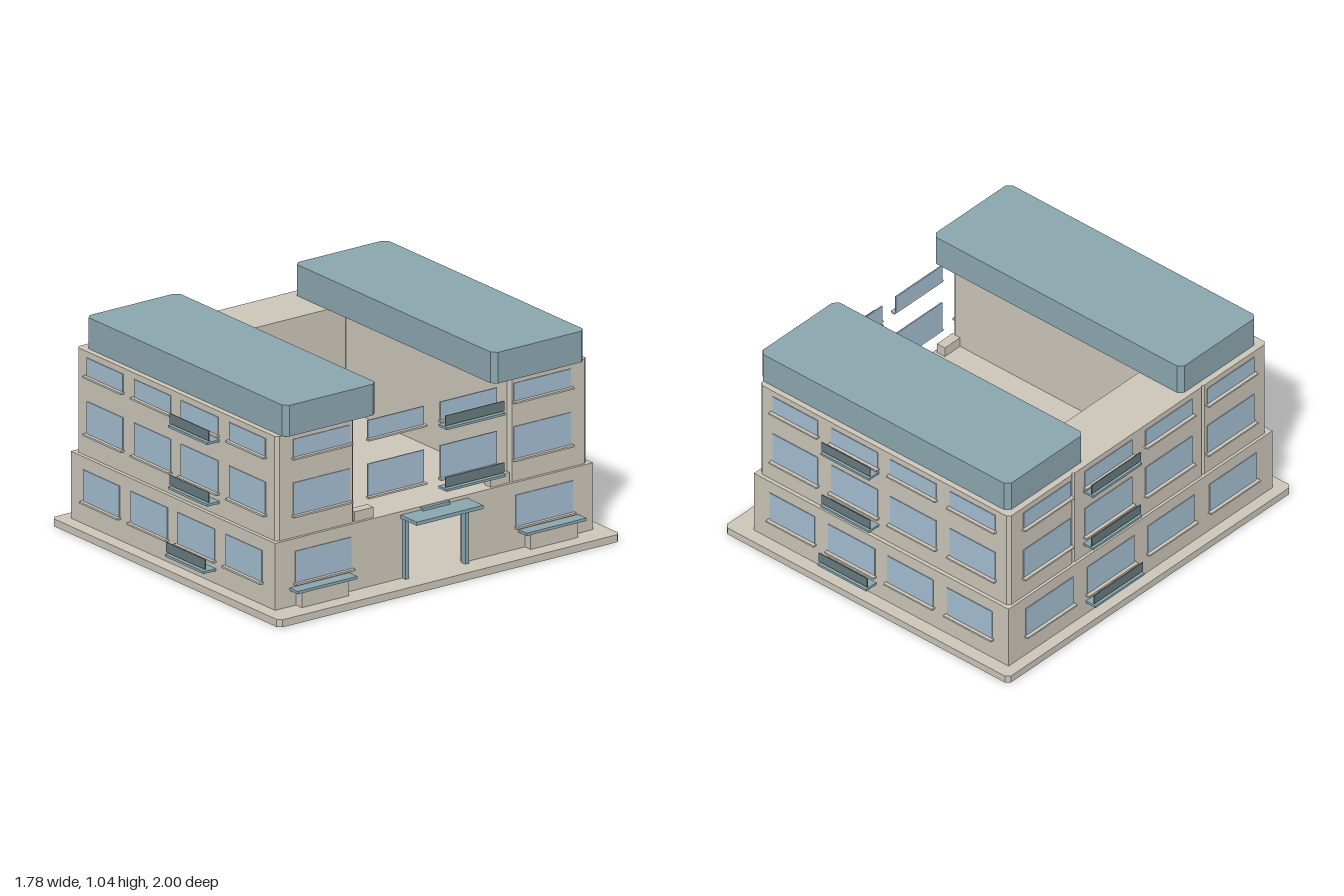
import * as THREE from 'three';

const mat = (name, color) => Object.assign(new THREE.MeshStandardMaterial({ color }), { name });

export function createModel() {
  const stone = mat('stone', 0xcac4b8);
  const teal = mat('teal', 0x8aa5ad);
  const glass = mat('glass', 0xa2bbce);
  const railing = mat('railing', 0x66797d);
  const model = new THREE.Group();
  model.name = 'building';

  const add = (parent, name, geometry, material) => {
    const mesh = new THREE.Mesh(geometry, material);
    mesh.name = name;
    parent.add(mesh);
    return mesh;
  };
  // Box given by its limits on each axis
  const box = (parent, name, material, x0, x1, y0, y1, z0, z1) => {
    const mesh = add(parent, name, new THREE.BoxGeometry(x1 - x0, y1 - y0, z1 - z0), material);
    mesh.position.set((x0 + x1) / 2, (y0 + y1) / 2, (z0 + z1) / 2);
    return mesh;
  };
  // Upright prism over a plan of [x, z] points
  const prism = (name, material, plan, y0, y1) => {
    const shape = new THREE.Shape(plan.map(([x, z]) => new THREE.Vector2(x, -z)));
    const geometry = new THREE.ExtrudeGeometry(shape, { depth: y1 - y0, bevelEnabled: false });
    geometry.rotateX(-Math.PI / 2).translate(0, y0, 0);
    return add(model, name, geometry, material);
  };
  // Rectangular plan with cut corners
  const cutPlan = (x0, x1, z0, z1, c) => [
    [x0 + c, z0], [x1 - c, z0], [x1, z0 + c], [x1, z1 - c],
    [x1 - c, z1], [x0 + c, z1], [x0, z1 - c], [x0, z0 + c],
  ];

  // Base slab
  prism('baseSlab', stone, cutPlan(-0.89, 0.89, -1, 1, 0.02), 0, 0.037);

  // Hollow ground floor with a doorway on the left side, closed by a deck
  prism('groundWalls', stone, [
    [0.765, 0.175], [0.765, 0.93], [-0.83, 0.93], [-0.83, -0.93], [0.765, -0.93], [0.765, -0.175],
    [0.735, -0.175], [0.735, -0.9], [-0.8, -0.9], [-0.8, 0.9], [0.735, 0.9], [0.735, 0.175],
  ], 0.037, 0.32);
  box(model, 'courtyardDeck', stone, -0.83, 0.765, 0.32, 0.37, -0.93, 0.93);

  // Upper floors: rear range and two wings around an open courtyard
  prism('rearRange', stone, cutPlan(-0.815, -0.52, -0.462, 0.462, 0.015), 0.37, 0.89);
  for (const s of [-1, 1]) {
    const lo = Math.min(s * 0.45, s * 0.91), hi = Math.max(s * 0.45, s * 0.91);
    prism('wing', stone, cutPlan(-0.815, 0.75, lo, hi, 0.017), 0.37, 0.89);
    const r0 = Math.min(s * 0.34, s * 0.88), r1 = Math.max(s * 0.34, s * 0.88);
    prism('roofBlock', teal, cutPlan(-0.782, 0.777, r0, r1, 0.025), 0.89, 1.045);
    // Low courtyard pier beside the wing
    const pier = box(model, 'courtyardPier', stone, 0.7, 0.75, 0.37, 0.42, -0.055, 0.055);
    pier.position.z = s * 0.398;
    // Planter with a ledge
    const planter = new THREE.Group();
    planter.name = 'planter';
    planter.position.z = s * 0.67;
    box(planter, 'planterBox', stone, 0.76, 0.81, 0.037, 0.117, -0.138, 0.138);
    box(planter, 'planterLedge', teal, 0.76, 0.828, 0.117, 0.131, -0.175, 0.175);
    model.add(planter);
    // Door post
    const post = box(model, 'doorPost', teal, 0.755, 0.79, 0.037, 0.333, -0.01, 0.01);
    post.position.z = s * 0.175;
  }

  // Entrance canopy
  box(model, 'doorLintel', teal, 0.755, 0.785, 0.315, 0.333, -0.165, 0.165);
  box(model, 'canopy', teal, 0.76, 0.89, 0.335, 0.353, -0.195, 0.195);
  box(model, 'canopyCap', teal, 0.76, 0.785, 0.353, 0.368, -0.08, 0.08);

  // Floors: window bottom and top, balcony plate and railing heights
  const floors = [
    { sill: 0.148, top: 0.307, plate: 0.1, rail: 0.12 },
    { sill: 0.48, top: 0.643, plate: 0.431, rail: 0.45 },
    { sill: 0.768, top: 0.86, plate: 0.738, rail: 0.757 },
  ];

  // Window with a sill; the wall's own frame has z pointing outward
  const addWindow = (face, x0, x1, f, wall) => {
    box(face, 'windowPane', glass, x0, x1, f.sill, f.top, wall - 0.003, wall + 0.004);
    box(face, 'windowSill', stone, x0 - 0.008, x1 + 0.008, f.sill - 0.006, f.sill + 0.003, wall - 0.003, wall + 0.022);
  };
  const addBalcony = (face, x0, x1, f, wall, depth) => {
    box(face, 'balconyPlate', teal, x0, x1, f.plate, f.plate + 0.012, wall - 0.003, wall + depth);
    box(face, 'balconyRailing', railing, x0, x1, f.rail, f.rail + 0.05, wall + depth - 0.013, wall + depth - 0.008);
  };

  const longBays = [[-0.73, -0.447], [-0.36, -0.073], [0.005, 0.297], [0.382, 0.665]];
  const shortBays = [[-0.81, -0.478], [-0.378, -0.045], [0.05, 0.378], [0.485, 0.815]];
  // turn: rotation about y; sign: direction of the wall's x against the world axis
  const faces = [
    { name: 'frontFace', turn: 0, sign: 1, bays: longBays, balcony: 2, walls: [0.93, 0.91], depth: 0.072 },
    { name: 'backFace', turn: Math.PI, sign: -1, bays: longBays, balcony: 2, walls: [0.93, 0.91], depth: 0.072 },
    { name: 'leftFace', turn: Math.PI / 2, sign: -1, bays: shortBays, balcony: 1, walls: [0.765, 0.75], depth: 0.062, open: true },
    { name: 'rightFace', turn: -Math.PI / 2, sign: 1, bays: shortBays, balcony: 1, walls: [0.83, 0.815], depth: 0.06 },
  ];
  for (const { name, turn, sign, bays, balcony, walls, depth, open } of faces) {
    const face = new THREE.Group();
    face.name = name;
    face.rotation.y = turn;
    model.add(face);
    floors.forEach((f, level) => bays.forEach((bay, i) => {
      // The entrance takes the middle of the ground floor
      if (open && level === 0 && (i === 1 || i === 2)) return;
      const [x0, x1] = sign > 0 ? bay : [-bay[1], -bay[0]];
      const wall = level ? walls[1] : walls[0];
      addWindow(face, x0, x1, f, wall);
      if (i === balcony) addBalcony(face, x0 - 0.006, x1 + 0.006, f, wall, depth);
    }));
  }
  return model;
}
